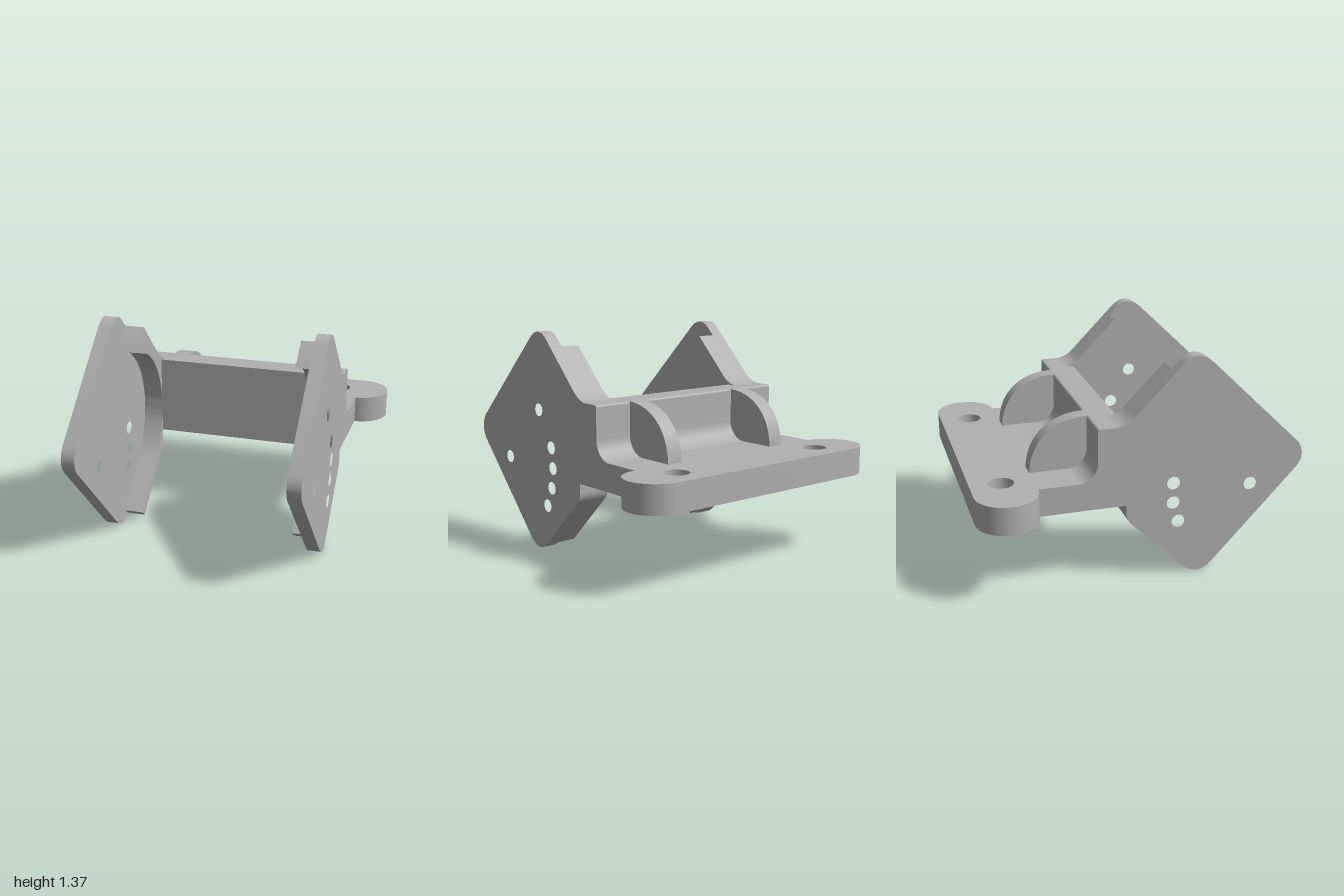
import * as THREE from 'three';
import { toCreasedNormals } from 'three/addons/utils/BufferGeometryUtils.js';

const grey = new THREE.MeshStandardMaterial({ color: 0xb0b0b0 });
grey.name = 'grey';

function addMesh(group, geometry, name) {
  const mesh = new THREE.Mesh(toCreasedNormals(geometry, 0.5), grey);
  mesh.name = name;
  group.add(mesh);
}

// Extrude a side profile drawn in (z, y) between two x positions.
function sideExtrude(shape, x0, x1) {
  const g = new THREE.ExtrudeGeometry(shape, { depth: x1 - x0, bevelEnabled: false, curveSegments: 24 });
  return g.rotateY(-Math.PI / 2).translate(x1, 0, 0);
}

// Extrude a plan drawn in (x, z) between two heights.
function planExtrude(shape, y0, y1) {
  const g = new THREE.ExtrudeGeometry(shape, { depth: y1 - y0, bevelEnabled: false, curveSegments: 24 });
  return g.rotateX(Math.PI / 2).translate(0, y1, 0);
}

function addHole(shape, u, v, r) {
  shape.holes.push(new THREE.Path().absarc(u, v, r, 0, Math.PI * 2, true));
}

// Rounded diamond plate with a fillet running into the cross wall.
function plateShape(holes) {
  const s = new THREE.Shape();
  s.moveTo(-0.06, 1.035);
  s.lineTo(0.225, 1.323);
  s.quadraticCurveTo(0.31, 1.405, 0.40, 1.323);
  s.lineTo(0.97, 0.77);
  s.quadraticCurveTo(1.03, 0.69, 0.97, 0.61);
  s.lineTo(0.435, 0.045);
  s.quadraticCurveTo(0.345, -0.045, 0.25, 0.04);
  s.lineTo(-0.075, 0.36);
  s.quadraticCurveTo(-0.11, 0.395, -0.11, 0.44);
  s.lineTo(-0.11, 0.98);
  s.lineTo(-0.17, 0.98);
  s.quadraticCurveTo(-0.11, 0.985, -0.06, 1.035);
  for (const [z, y] of holes) addHole(s, z, y, 0.04);
  return s;
}

// Inner rib along the rear edge of a plate, with a concave front.
function ribShape() {
  const s = new THREE.Shape();
  s.moveTo(-0.06, 1.035);
  s.lineTo(0.18, 1.278);
  s.lineTo(0.31, 1.15);
  s.absarc(0.371, 0.671, 0.482, Math.PI * 0.54, Math.PI * 1.25, false);
  s.lineTo(0.295, 0.062);
  s.lineTo(0.262, 0.03);
  s.lineTo(-0.075, 0.36);
  s.quadraticCurveTo(-0.11, 0.395, -0.11, 0.44);
  s.lineTo(-0.112, 0.98);
  s.lineTo(-0.17, 0.98);
  s.quadraticCurveTo(-0.11, 0.985, -0.06, 1.035);
  return s;
}

// Cross wall and base in one L profile with a rounded inner corner.
function bracketShape() {
  const s = new THREE.Shape();
  s.moveTo(-0.11, 0.49);
  s.lineTo(-0.11, 0.98);
  s.lineTo(-0.265, 0.98);
  s.quadraticCurveTo(-0.28, 0.98, -0.28, 0.965);
  s.lineTo(-0.28, 0.78);
  s.absarc(-0.40, 0.78, 0.12, 0, -Math.PI / 2, true);
  s.lineTo(-0.632, 0.66);
  s.lineTo(-0.632, 0.49);
  s.closePath();
  return s;
}

function gussetShape() {
  const s = new THREE.Shape();
  s.moveTo(-0.27, 0.65);
  s.lineTo(-0.27, 0.98);
  s.bezierCurveTo(-0.48, 0.98, -0.62, 0.86, -0.63, 0.66);
  s.lineTo(-0.63, 0.65);
  s.closePath();
  return s;
}

// Mounting bar with round ends and two bolt holes.
function barShape(holeRadius) {
  const s = new THREE.Shape();
  const r = 0.184, cx = 0.705, cz = -0.816;
  s.absarc(cx, cz, r, -Math.PI / 2, Math.PI / 2, false);
  s.absarc(-cx, cz, r, Math.PI / 2, Math.PI * 1.5, false);
  s.closePath();
  for (const side of [-1, 1]) addHole(s, side * 0.555, cz, holeRadius);
  return s;
}

export function createModel() {
  const model = new THREE.Group();
  model.name = 'hingeBracket';

  // Side plates: the two hole rows are staggered along the same arc
  const pivot = [0.667, 0.535];
  const leftHoles = [pivot, [0.32, 0.882], [0.19, 0.662], [0.175, 0.535], [0.19, 0.408], [0.24, 0.288]];
  const rightHoles = [pivot, [0.179, 0.597], [0.179, 0.471], [0.212, 0.347]];
  addMesh(model, sideExtrude(plateShape(leftHoles), 0.62, 0.703), 'leftPlate');
  addMesh(model, sideExtrude(plateShape(rightHoles), -0.703, -0.62), 'rightPlate');

  // Ribs and gussets, mirrored
  for (const [side, name] of [[1, 'left'], [-1, 'right']]) {
    const span = (a, b) => (side > 0 ? [a, b] : [-b, -a]);
    addMesh(model, sideExtrude(ribShape(), ...span(0.497, 0.62)), name + 'Rib');
    addMesh(model, sideExtrude(gussetShape(), ...span(0.358, 0.458)), name + 'Gusset');
  }

  // Cross wall and base
  addMesh(model, sideExtrude(bracketShape(), -0.703, 0.703), 'wallAndBase');

  // Mounting bar: wide counterbore above, narrow hole below
  addMesh(model, planExtrude(barShape(0.075), 0.58, 0.66), 'mountingBarTop');
  addMesh(model, planExtrude(barShape(0.045), 0.49, 0.58), 'mountingBarBottom');

  return model;
}
